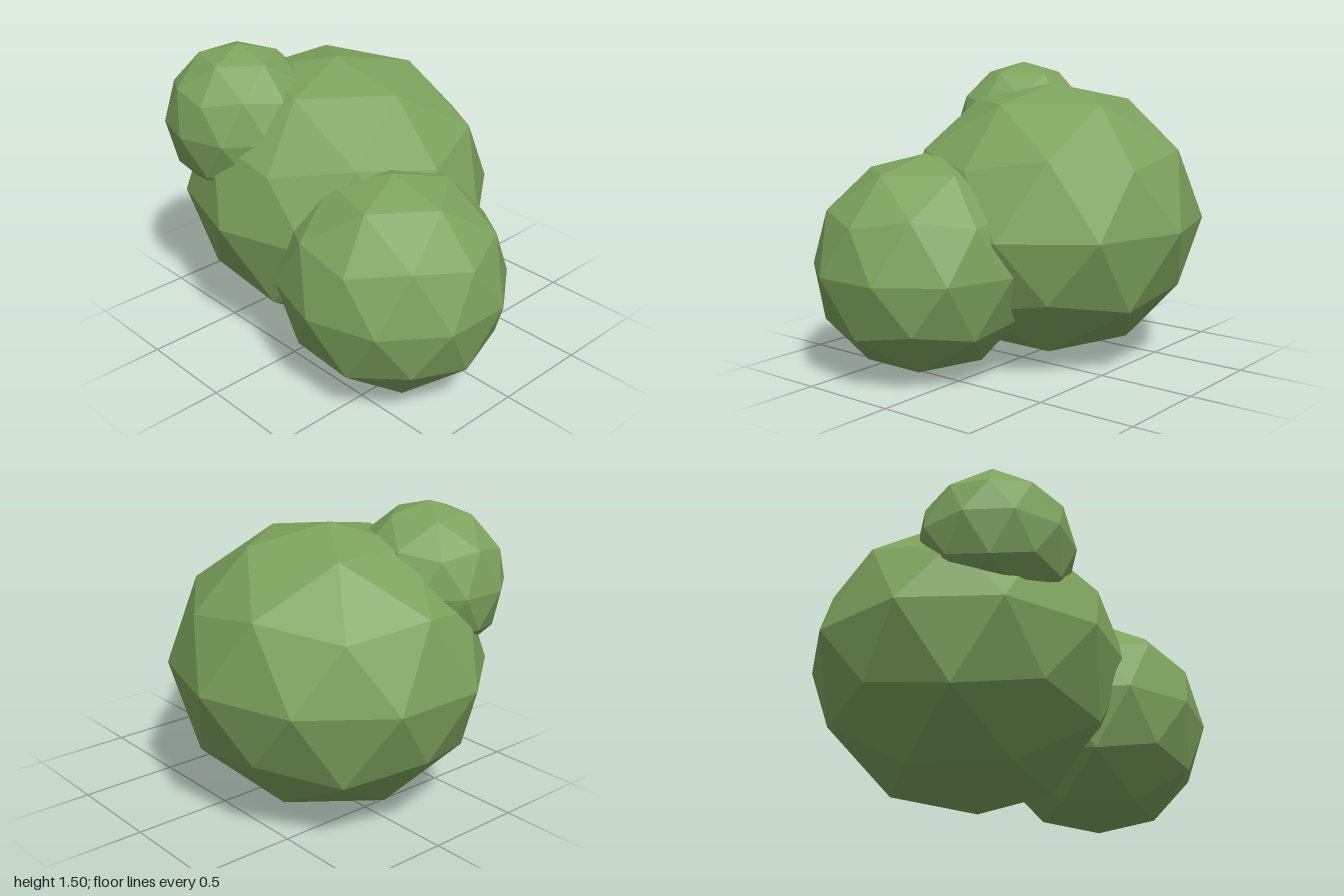
import * as THREE from 'three';

// Faceted icosphere standing on a vertex; bulge pushes out the edge midpoints.
function lobe(name, center, radii, bulge, material) {
  const geo = new THREE.IcosahedronGeometry(1, 1);
  geo.rotateZ(-Math.atan(2 / (1 + Math.sqrt(5))));
  const pos = geo.attributes.position;
  const v = new THREE.Vector3();
  for (let i = 0; i < pos.count; i++) {
    v.fromBufferAttribute(pos, i);
    const h = Math.abs(v.y);
    const corner = h > 0.99 || Math.abs(h - 1 / Math.sqrt(5)) < 0.01;
    if (!corner) v.multiplyScalar(bulge);
    pos.setXYZ(i, v.x * radii[0], v.y * radii[1], v.z * radii[2]);
  }
  geo.computeVertexNormals();
  const mesh = new THREE.Mesh(geo, material);
  mesh.name = name;
  mesh.position.set(...center);
  return mesh;
}

export function createModel() {
  const group = new THREE.Group();
  group.name = 'bush';
  const leaves = new THREE.MeshStandardMaterial({ color: 0x7da35d, flatShading: true });

  // Large body, medium lobe low at the left, small lobe high at the right
  group.add(
    lobe('mainFoliage', [-0.23, 0.72, -0.02], [0.785, 0.695, 0.752], 1.03, leaves),
    lobe('sideFoliage', [0.45, 0.55, 0.25], [0.57, 0.545, 0.545], 1.01, leaves),
    lobe('topFoliage', [-0.5, 1.12, 0.38], [0.39, 0.39, 0.378], 1, leaves),
  );
  return group;
}
